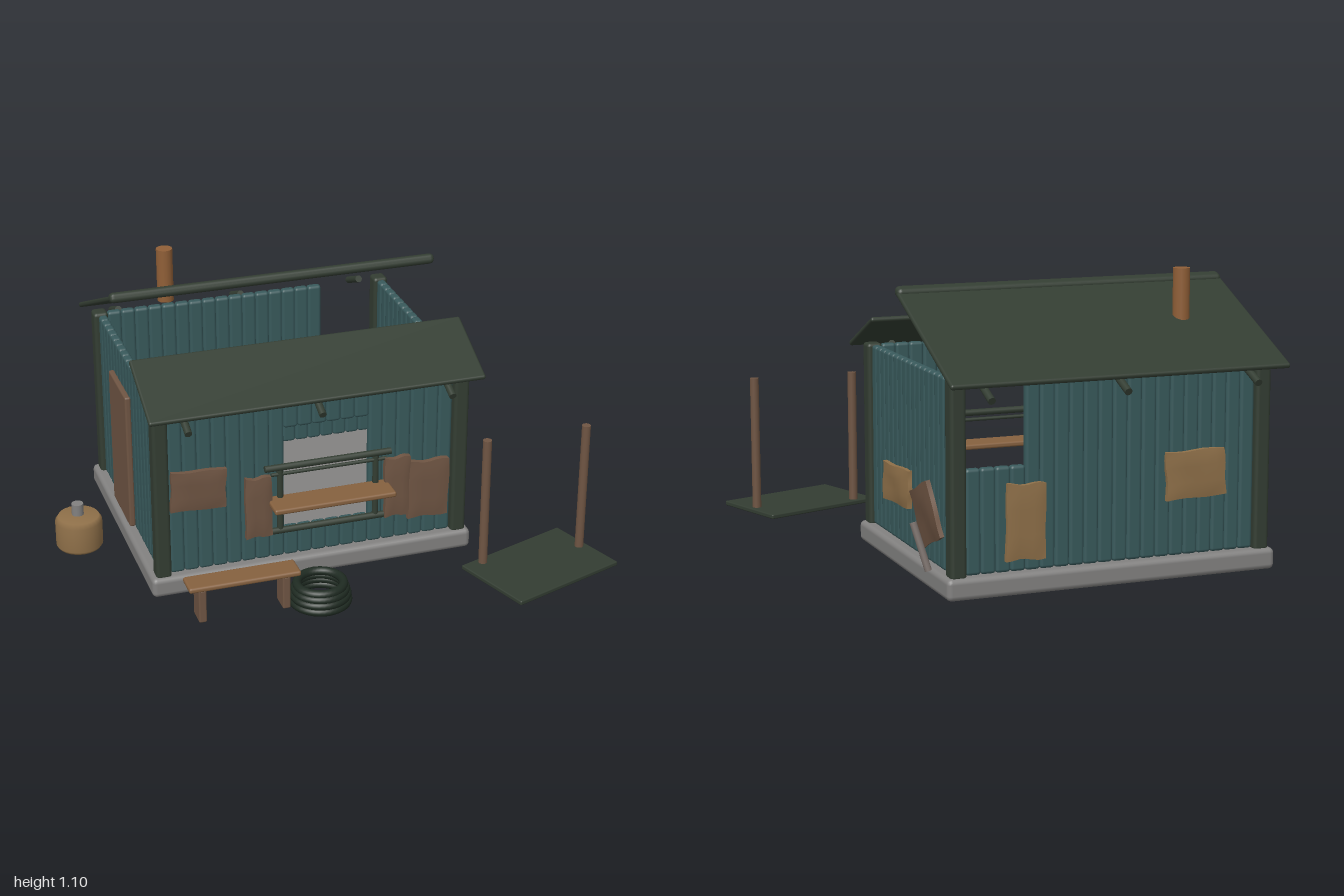
import * as THREE from 'three';
import { RoundedBoxGeometry } from 'three/addons/geometries/RoundedBoxGeometry.js';

const mat = (name, color, side = THREE.FrontSide) => {
  const m = new THREE.MeshStandardMaterial({ color, side });
  m.name = name;
  return m;
};
const M = {
  teal: mat('teal planks', 0x38595b),
  green: mat('dark green', 0x333d32),
  stone: mat('grey stone', 0x828180),
  brown: mat('brown wood', 0x6f5543),
  tan: mat('tan wood', 0x8f7049),
  bench: mat('bench wood', 0x86613f),
  copper: mat('rusty copper', 0x905f37),
  hose: mat('hose green', 0x1f2b22),
  grey: mat('weathered grey', 0x7a706b),
};

export function createModel() {
  const model = new THREE.Group();
  const add = (name, geo, material, x, y, z, parent = model) => {
    const m = new THREE.Mesh(geo, material);
    m.name = name;
    m.position.set(x, y, z);
    parent.add(m);
    return m;
  };
  const group = (name) => {
    const g = new THREE.Group();
    g.name = name;
    model.add(g);
    return g;
  };
  const box = (w, h, d, r = 0.01) => new RoundedBoxGeometry(w, h, d, 2, r);

  // Round rod between two points
  const rod = (name, a, b, r, material, parent = model) => {
    const A = new THREE.Vector3(...a), B = new THREE.Vector3(...b);
    const dir = B.clone().sub(A), mid = A.clone().add(B).multiplyScalar(0.5);
    const m = add(name, new THREE.CylinderGeometry(r, r, dir.length(), 14), material, mid.x, mid.y, mid.z, parent);
    m.quaternion.setFromUnitVectors(new THREE.Vector3(0, 1, 0), dir.normalize());
    return m;
  };

  // Warped board facing +z, turned by yaw, tilt and roll
  const board = (name, w, h, d, material, pos, yaw = 0, tilt = 0, roll = 0) => {
    const geo = new THREE.BoxGeometry(w, h, d, 6, 6, 1);
    const p = geo.attributes.position;
    for (let i = 0; i < p.count; i++) {
      const x = p.getX(i), y = p.getY(i), z = p.getZ(i);
      const u = x / w * 2, v = y / h * 2;
      const rim = Math.max(Math.abs(u), Math.abs(v)) > 0.95 ? 0.7 : 1;
      p.setXYZ(i,
        x * (1 - 0.05 * (0.5 + 0.5 * Math.sin(v * 4 + pos[0] * 9))),
        y * (1 - 0.06 * (0.5 + 0.5 * Math.sin(u * 4 + pos[1] * 9))),
        z * rim + 0.003 * Math.sin(u * 3 + v * 2));
    }
    geo.computeVertexNormals();
    const m = add(name, geo, material, ...pos);
    m.rotation.set(tilt, yaw, roll, 'YXZ');
    return m;
  };

  // Foundation
  add('foundation', box(1.28, 0.08, 1.01, 0.02), M.stone, -0.07, 0.04, -0.255);

  // Corner posts
  const posts = group('cornerPosts');
  for (const x of [-0.66, 0.522])
    for (const z of [0.203, -0.712])
      add('cornerPost', box(0.06, 0.71, 0.065, 0.014), M.green, x, 0.425, z, posts);

  // Front and back plank walls, with a serving hatch and a broken corner
  const front = group('frontWall'), back = group('backWall');
  const pitch = 0.056;
  const plankX = (parent, x, y0, y1, z) =>
    add('plank', box(pitch, y1 - y0, 0.035, 0.012), M.teal, x, (y0 + y1) / 2, z, parent);
  for (let i = 0; i < 20; i++) {
    const x = -0.63 + (i + 0.5) * pitch;
    if (i >= 8 && i <= 13) {
      plankX(front, x, 0.08, 0.2, 0.2);
      plankX(front, x, 0.62, 0.74, 0.2);
    } else plankX(front, x, 0.08, 0.775, 0.2);
    plankX(back, x, 0.08, i >= 16 ? 0.46 : 0.775, -0.71);
  }

  // Side plank walls
  for (const [name, x] of [['rightWall', -0.655], ['leftWall', 0.52]]) {
    const wall = group(name);
    for (let i = 0; i < 17; i++)
      add('plank', box(0.035, 0.695, 0.05, 0.012), M.teal, x, 0.4275, 0.145 - i * 0.05, wall);
  }

  // Sloping roof panels with an open gap between them
  const slab = (name, y0, z0, y1, z1, t) => {
    const dy = y1 - y0, dz = z1 - z0;
    const m = add(name, box(1.3, t, Math.hypot(dy, dz), t * 0.45), M.green, -0.07, (y0 + y1) / 2, (z0 + z1) / 2);
    m.rotation.x = dz < 0 ? Math.atan2(dy, -dz) : -Math.atan2(dy, dz);
  };
  slab('frontRoof', 0.762, 0.32, 0.893, 0.035, 0.02);
  slab('backRoof', 0.765, -0.83, 1.03, -0.24, 0.02);
  slab('ridgeCap', 1.016, -0.278, 1.036, -0.23, 0.04);
  const rafters = group('rafterEnds');
  for (const x of [-0.58, -0.07, 0.44]) {
    rod('rafterEnd', [x, 0.717, 0.34], [x, 0.77, 0.215], 0.014, M.green, rafters);
    rod('rafterEnd', [x, 0.717, -0.85], [x, 0.77, -0.725], 0.014, M.green, rafters);
  }

  // Chimney pipe
  rod('chimney', [-0.44, 0.885, -0.5], [-0.44, 1.1, -0.5], 0.032, M.copper);

  // Hatch frame and counter
  const frame = group('hatchFrame');
  for (const [y, r] of [[0.473, 0.013], [0.445, 0.007], [0.205, 0.013]])
    rod('hatchRail', [y > 0.46 ? -0.265 : -0.24, y, 0.238], [y > 0.46 ? 0.235 : 0.22, y, 0.238], r, M.green, frame);
  for (const x of [-0.205, 0.175])
    rod('hatchUpright', [x, 0.2, 0.236], [x, 0.475, 0.236], 0.012, M.green, frame);
  add('counter', box(0.48, 0.022, 0.12, 0.008), M.bench, -0.015, 0.337, 0.28);

  // Shutters, boarded windows and door
  board('shutter', 0.105, 0.255, 0.032, M.brown, [-0.293, 0.323, 0.245]);
  board('shutter', 0.105, 0.255, 0.032, M.brown, [0.26, 0.323, 0.245]);
  board('frontBoard', 0.165, 0.245, 0.03, M.brown, [0.385, 0.298, 0.25], 0, 0, -0.03);
  board('frontWindowBoard', 0.215, 0.165, 0.028, M.brown, [-0.522, 0.43, 0.236], 0, 0, -0.05);
  board('sideBoard', 0.295, 0.145, 0.028, M.tan, [0.545, 0.297, -0.148], Math.PI / 2, 0, 0.05);
  board('leaningBoard', 0.24, 0.215, 0.024, M.brown, [0.55, 0.257, -0.485], Math.PI / 2, 0.16, 0.38);
  board('backWindowBoard', 0.24, 0.18, 0.028, M.tan, [-0.39, 0.38, -0.735], Math.PI, 0, 0.03);
  board('backBoard', 0.15, 0.28, 0.028, M.tan, [0.27, 0.26, -0.735], Math.PI, 0, -0.02);
  add('door', box(0.024, 0.56, 0.27, 0.008), M.brown, -0.68, 0.36, -0.315);
  rod('leaningStick', [0.573, 0.07, -0.565], [0.615, 0.24, -0.525], 0.013, M.grey);

  // Bench
  const bench = group('bench');
  add('benchSeat', box(0.43, 0.022, 0.1, 0.009), M.bench, -0.415, 0.15, 0.435, bench);
  for (const x of [-0.578, -0.255])
    add('benchLeg', box(0.03, 0.135, 0.08, 0.006), M.brown, x, 0.072, 0.435, bench);

  // Coiled hose
  const coil = group('hoseCoil');
  [[0.018, 0.104], [0.042, 0.101], [0.064, 0.095], [0.084, 0.088]].forEach(([y, r]) => {
    const ring = add('hoseLoop', new THREE.TorusGeometry(r, 0.017, 10, 36), M.hose, -0.12, y, 0.46, coil);
    ring.rotation.x = Math.PI / 2;
  });

  // Chopping stump with a peg
  const profile = [[0, 0.085], [0.082, 0.085], [0.09, 0.097], [0.09, 0.195], [0.078, 0.214], [0, 0.214]];
  add('stump', new THREE.LatheGeometry(profile.map(([x, y]) => new THREE.Vector2(x, y)), 28), M.tan, -0.91, 0, -0.1);
  rod('stumpPeg', [-0.91, 0.2, -0.11], [-0.91, 0.26, -0.11], 0.023, M.stone);

  // Fallen panel with two poles
  const panel = add('fallenPanel', box(0.49, 0.018, 0.335, 0.005), M.green, 0.706, 0.09, 0.607);
  panel.rotation.y = 0.33;
  for (const x of [0.505, 0.903])
    rod('pole', [x, 0.085, 0.53], [x, 0.615, 0.53], 0.017, M.brown);

  return model;
}
